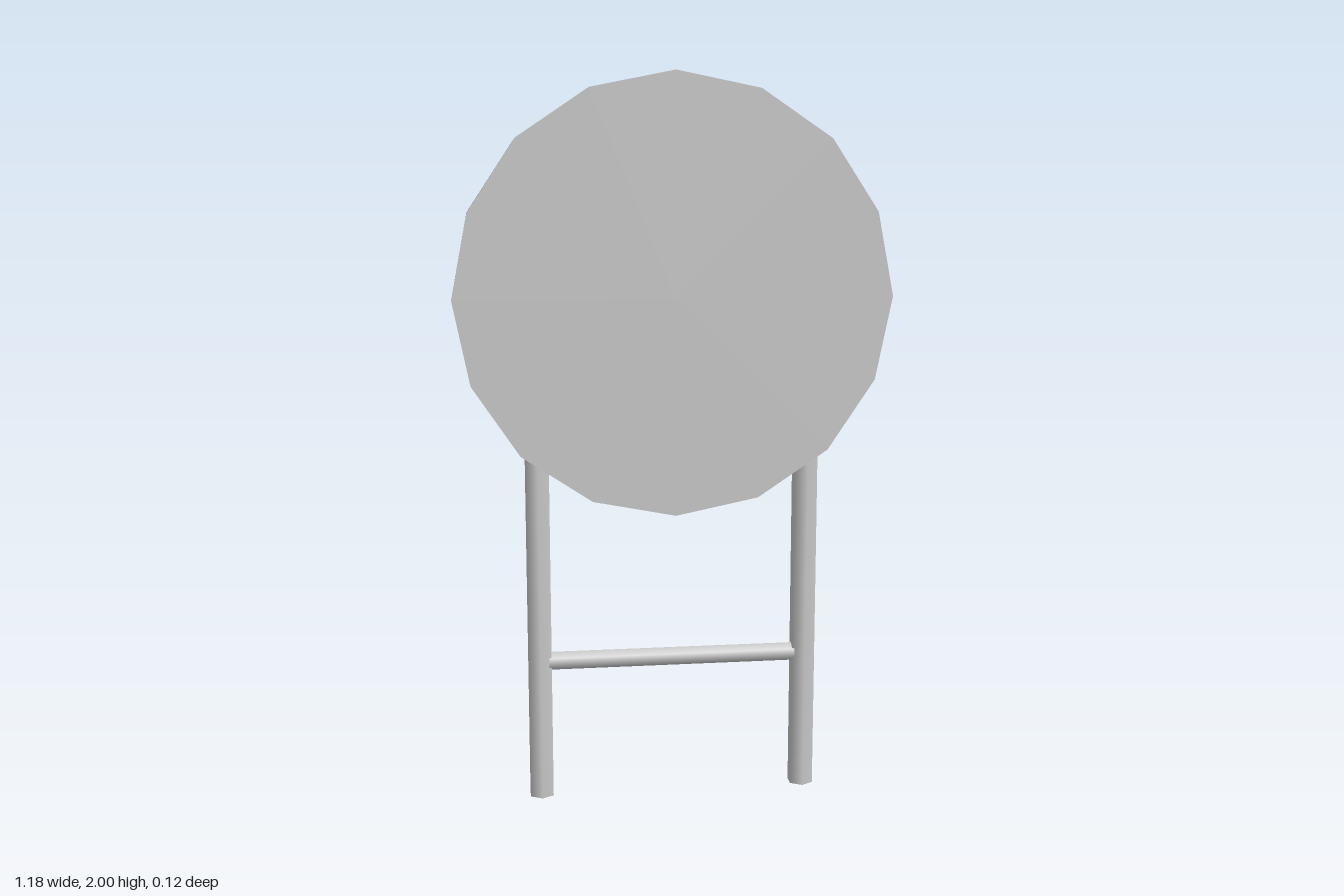
import * as THREE from 'three';

export function createModel() {
  const group = new THREE.Group();
  const material = new THREE.MeshStandardMaterial({ color: 0xcccccc });

  function addPart(name, geometry, x, y, z) {
    const mesh = new THREE.Mesh(geometry, material);
    mesh.name = name;
    mesh.position.set(x, y, z);
    group.add(mesh);
  }

  // Upright sixteen-sided disc
  const disc = new THREE.CylinderGeometry(0.592, 0.592, 0.058, 16).rotateX(Math.PI / 2);
  addPart('roundPanel', disc, 0, 1.408, 0.029);

  // Six-sided posts, set slightly into the back of the disc
  const legZ = -0.022;
  const leg = new THREE.CylinderGeometry(0.037, 0.037, 1.61, 6);
  addPart('leftLeg', leg, 0.373, 0.805, legZ);
  addPart('rightLeg', leg, -0.373, 0.805, legZ);

  // Thin six-sided rail between the legs
  const rail = new THREE.CylinderGeometry(0.026, 0.026, 0.72, 6, 1, false, Math.PI / 2)
    .rotateZ(Math.PI / 2);
  addPart('crossRail', rail, 0, 0.392, legZ);

  return group;
}
